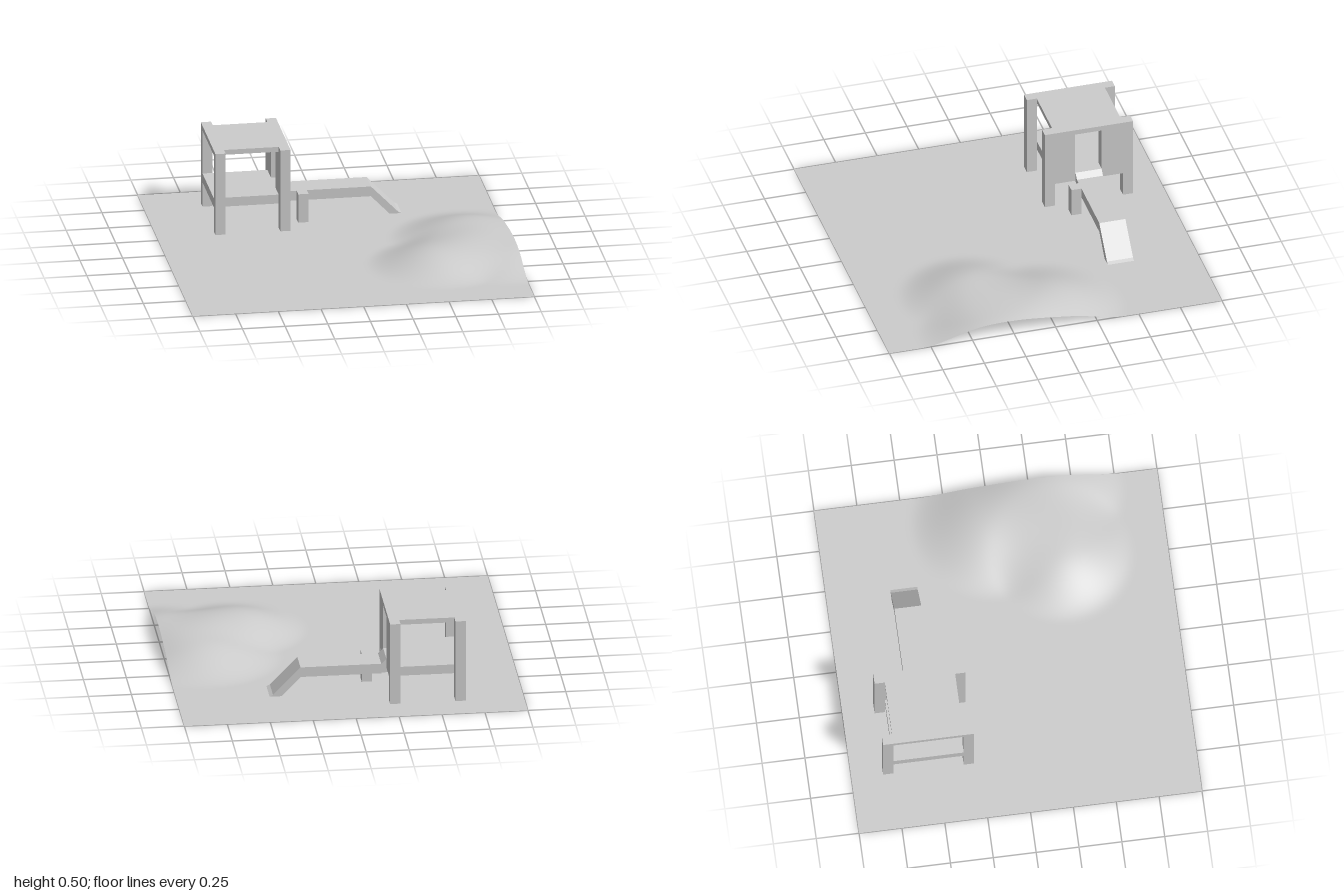
import * as THREE from 'three';

const material = new THREE.MeshStandardMaterial({ color: 0xcccccc });
const groundMaterial = new THREE.MeshStandardMaterial({ color: 0xcccccc, side: THREE.DoubleSide });

// Box given by its limits on each axis
function box(name, [x0, x1], [y0, y1], [z0, z1]) {
  const mesh = new THREE.Mesh(new THREE.BoxGeometry(x1 - x0, y1 - y0, z1 - z0), material);
  mesh.position.set((x0 + x1) / 2, (y0 + y1) / 2, (z0 + z1) / 2);
  mesh.name = name;
  return mesh;
}

// Rounded mounds that blend into one hill: centre x, centre z, radius, height
const mounds = [
  [0.55, 0.38, 0.43, 0.1],
  [0.78, 0.0, 0.47, 0.105],
  [0.95, 0.35, 0.46, 0.09],
];

function hillHeight(x, z) {
  let sum = 0;
  for (const [cx, cz, radius, height] of mounds) {
    const d2 = ((x - cx) ** 2 + (z - cz) ** 2) / radius ** 2;
    if (d2 < 1) sum += (height * (1 - d2) ** 2) ** 1.5;
  }
  return sum ** (1 / 1.5);
}

function createGround() {
  const geometry = new THREE.PlaneGeometry(2, 2, 80, 80).rotateX(-Math.PI / 2);
  const p = geometry.attributes.position;
  for (let i = 0; i < p.count; i++) p.setY(i, hillHeight(p.getX(i), p.getZ(i)));
  geometry.computeVertexNormals();
  const ground = new THREE.Mesh(geometry, groundMaterial);
  ground.name = 'ground';
  return ground;
}

function createTower() {
  const tower = new THREE.Group();
  tower.name = 'tower';
  const left = [-0.66, -0.6], right = [-0.28, -0.22];
  const back = [-0.815, -0.755], front = [-0.345, -0.285];

  // Corner posts
  for (const x of [left, right])
    for (const z of [back, front]) tower.add(box('post', x, [0, 0.5], z));

  // Deck and roof slabs between the posts
  tower.add(box('deck', [-0.66, -0.22], [0.15, 0.205], [-0.755, -0.345]));
  tower.add(box('roof', [-0.66, -0.22], [0.47, 0.5], [-0.755, -0.345]));

  // Wall panels either side of the slide doorway
  tower.add(box('wallPanel', right, [0.15, 0.5], [-0.755, -0.626]));
  tower.add(box('wallPanel', right, [0.15, 0.5], [-0.467, -0.345]));
  return tower;
}

function createSlide() {
  const slide = new THREE.Group();
  slide.name = 'slide';

  // Side profile of the chute, extruded across its width
  const profile = new THREE.Shape([
    [-0.22, 0.15], [-0.19, 0.115], [0.28, 0.115], [0.39, 0],
    [0.46, 0], [0.44, 0.01], [0.28, 0.175], [-0.19, 0.175], [-0.22, 0.205],
  ].map(([x, y]) => new THREE.Vector2(x, y)));
  const geometry = new THREE.ExtrudeGeometry(profile, { depth: 0.157, bevelEnabled: false });
  const chute = new THREE.Mesh(geometry, material);
  chute.position.z = -0.626;
  chute.name = 'chute';
  slide.add(chute);

  // Single leg beside the chute
  slide.add(box('slideLeg', [-0.155, -0.095], [0, 0.175], [-0.469, -0.409]));
  return slide;
}

export function createModel() {
  const model = new THREE.Group();
  model.name = 'playground';
  model.add(createGround(), createTower(), createSlide());
  return model;
}
